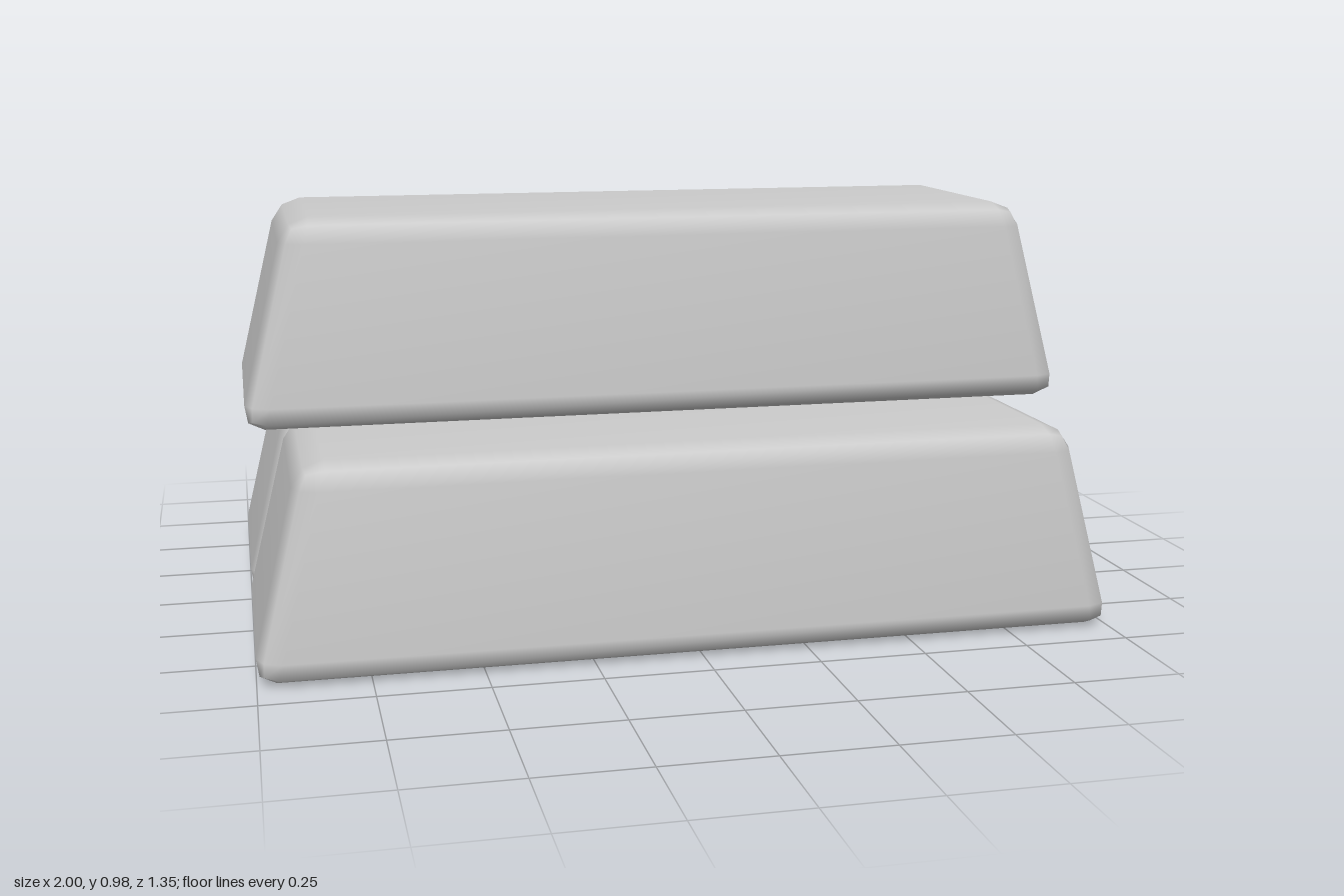
import * as THREE from 'three';
import { RoundedBoxGeometry } from 'three/addons/geometries/RoundedBoxGeometry.js';
import { mergeVertices } from 'three/addons/utils/BufferGeometryUtils.js';

const HEIGHT = 0.488;
const BEVEL = 0.058;

// Bevelled bar standing on y = 0, its sides and ends leaning inwards towards the top
function ingotGeometry() {
  const box = new RoundedBoxGeometry(2, HEIGHT, 0.666, 1, BEVEL);
  box.translate(0, HEIGHT / 2, 0);
  const p = box.attributes.position;
  for (let i = 0; i < p.count; i++) {
    const rise = p.getY(i) - BEVEL;
    p.setX(i, p.getX(i) - Math.sign(p.getX(i)) * 0.24 * rise);
    p.setZ(i, p.getZ(i) - Math.sign(p.getZ(i)) * 0.08 * rise);
  }
  // weld the faces so the bevels shade smoothly
  box.deleteAttribute('normal');
  box.deleteAttribute('uv');
  box.clearGroups();
  const welded = mergeVertices(box, 1e-4);
  welded.computeVertexNormals();
  return welded;
}

export function createModel() {
  const model = new THREE.Group();
  model.name = 'ingotStack';
  const material = new THREE.MeshStandardMaterial({ color: 0xcccccc });
  const geometry = ingotGeometry();

  // two bars side by side, one resting across the gap
  const bars = [
    ['frontIngot', 0, 0.341],
    ['backIngot', 0, -0.341],
    ['topIngot', 0.494, 0],
  ];
  for (const [name, y, z] of bars) {
    const bar = new THREE.Mesh(geometry, material);
    bar.name = name;
    bar.position.set(0, y, z);
    model.add(bar);
  }
  return model;
}
